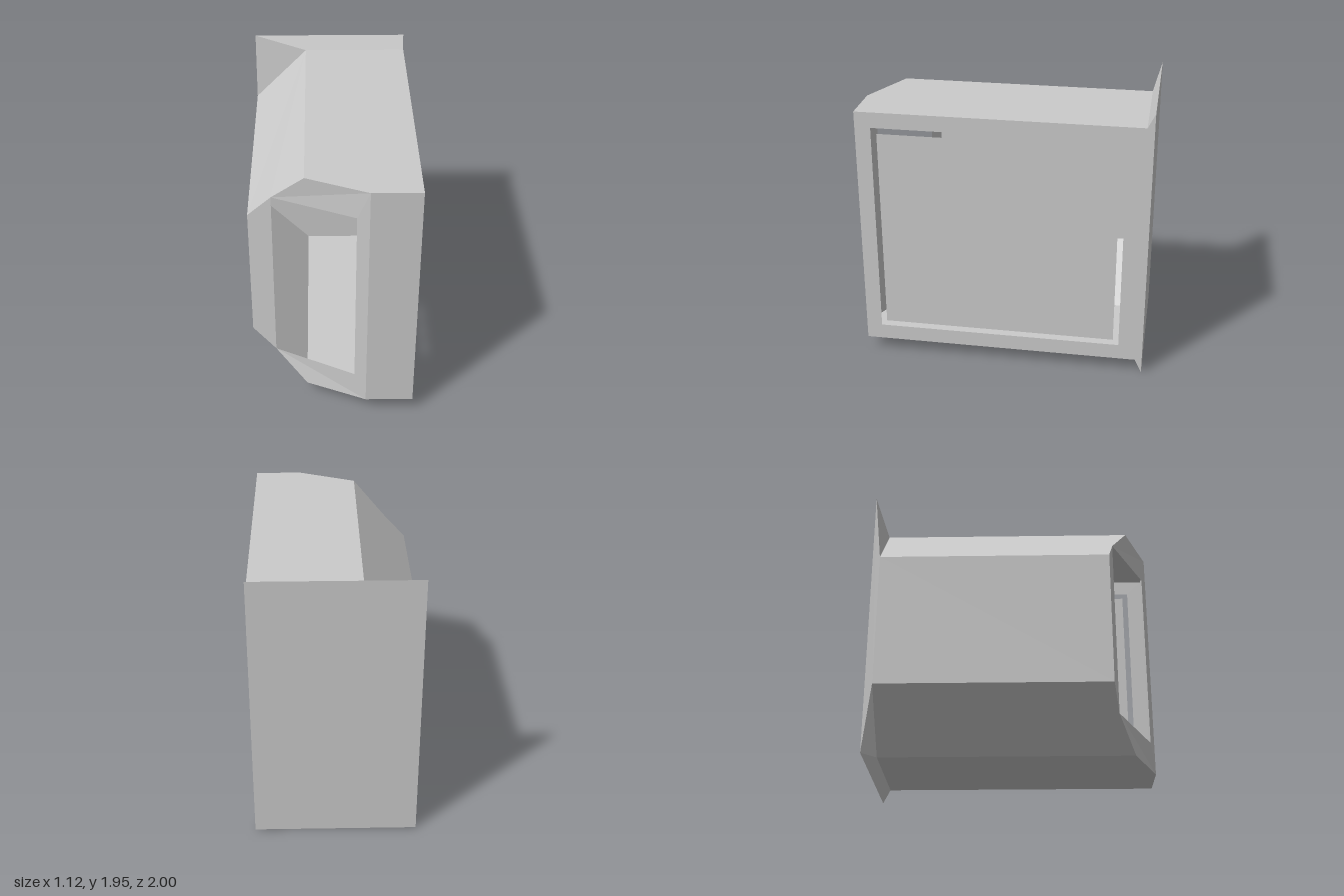
import * as THREE from 'three';

const MID = 0.975; // height of the horizontal symmetry plane

// Corner points as [x, height above MID, z]; the lower half mirrors them
const roofBack = [-0.18, 0.875, -0.95], roofFront = [-0.18, 0.875, 0.826];
const roofBend = [0.23, 0.875, 1], roofNose = [0.56, 0.875, 1], roofHeel = [0.56, 0.875, -0.95];
const wallBack = [-0.56, 0.487, -0.95], wallFront = [-0.56, 0.487, 0.67];
const winOuter = [-0.4, 0.651, 0.707], winInner = [0.15, 0.664, 0.966];
const plateLeft = [-0.56, 0.975, -1], plateRight = [0.56, 0.975, -1];

const flip = ([x, h, z]) => [x, -h, z];
// Polygon bounded by an upper edge a-b and its mirrored lower edge
const band = (a, b) => [a, flip(a), flip(b), b];
// Polygons plus their mirrored copies, with the winding reversed
const both = (polys) => [...polys, ...polys.map((p) => p.map(flip).reverse())];

const material = () => new THREE.MeshStandardMaterial({
  color: 0xcccccc, flatShading: true, side: THREE.DoubleSide,
});

function addMesh(group, name, geometry) {
  const mesh = new THREE.Mesh(geometry, material());
  mesh.name = name;
  group.add(mesh);
}

// Flat polygons, each triangulated as a fan
function panels(polys) {
  const pos = [];
  for (const p of polys) {
    for (let i = 1; i < p.length - 1; i++) {
      for (const [x, h, z] of [p[0], p[i], p[i + 1]]) pos.push(x, h + MID, z);
    }
  }
  const g = new THREE.BufferGeometry();
  g.setAttribute('position', new THREE.Float32BufferAttribute(pos, 3));
  g.computeVertexNormals();
  return g;
}

// Shape drawn in [z, y], stood upright to face +x
const toPoints = (pts) => pts.map(([z, y]) => new THREE.Vector2(-z, y));
const rect = (z0, z1, y0, y1) => [[z1, y0], [z0, y0], [z0, y1], [z1, y1]];
function sideSheet(outline, hole) {
  const shape = new THREE.Shape(toPoints(outline));
  if (hole) shape.holes.push(new THREE.Path(toPoints(hole)));
  return new THREE.ShapeGeometry(shape).rotateY(Math.PI / 2).translate(0.56, 0, 0);
}

export function createModel() {
  const model = new THREE.Group();
  model.name = 'housing';

  // Top and bottom faces, and the chamfers beside them
  addMesh(model, 'roofAndFloor', panels(both([
    [roofBack, roofFront, roofBend, roofNose, roofHeel],
  ])));
  // The fan starts at the upper back corner in both halves
  const chamfer = [roofBack, wallBack, wallFront, winOuter, roofFront];
  const lower = chamfer.map(flip);
  addMesh(model, 'chamfers', panels([chamfer, [lower[0], ...lower.slice(1).reverse()]]));
  addMesh(model, 'leftWall', panels([band(wallBack, wallFront)]));

  // Slanted front around an open window
  addMesh(model, 'windowFront', panels([
    ...both([[roofFront, winOuter, roofBend], [winOuter, winInner, roofBend]]),
    band(wallFront, winOuter),
    band(winInner, roofBend),
    band(roofBend, roofNose),
  ]));

  // Flared flange and back plate
  addMesh(model, 'backFlange', panels([
    ...both([[plateLeft, roofBack, roofHeel, plateRight], [plateLeft, wallBack, roofBack]]),
    band(plateLeft, wallBack),
  ]));
  addMesh(model, 'backPlate', panels([
    [plateLeft, plateRight, flip(plateRight), flip(plateLeft)],
  ]));

  // Side frame with a door sitting in its opening
  addMesh(model, 'doorFrame', sideSheet(
    [[1, 0.1], [-0.95, 0.1], [-1, 0], [-1, 1.95], [-0.95, 1.85], [1, 1.85]],
    rect(-0.83, 0.89, 0.21, 1.74),
  ));
  addMesh(model, 'door', sideSheet(rect(-0.79, 0.85, 0.25, 1.7)));

  return model;
}
